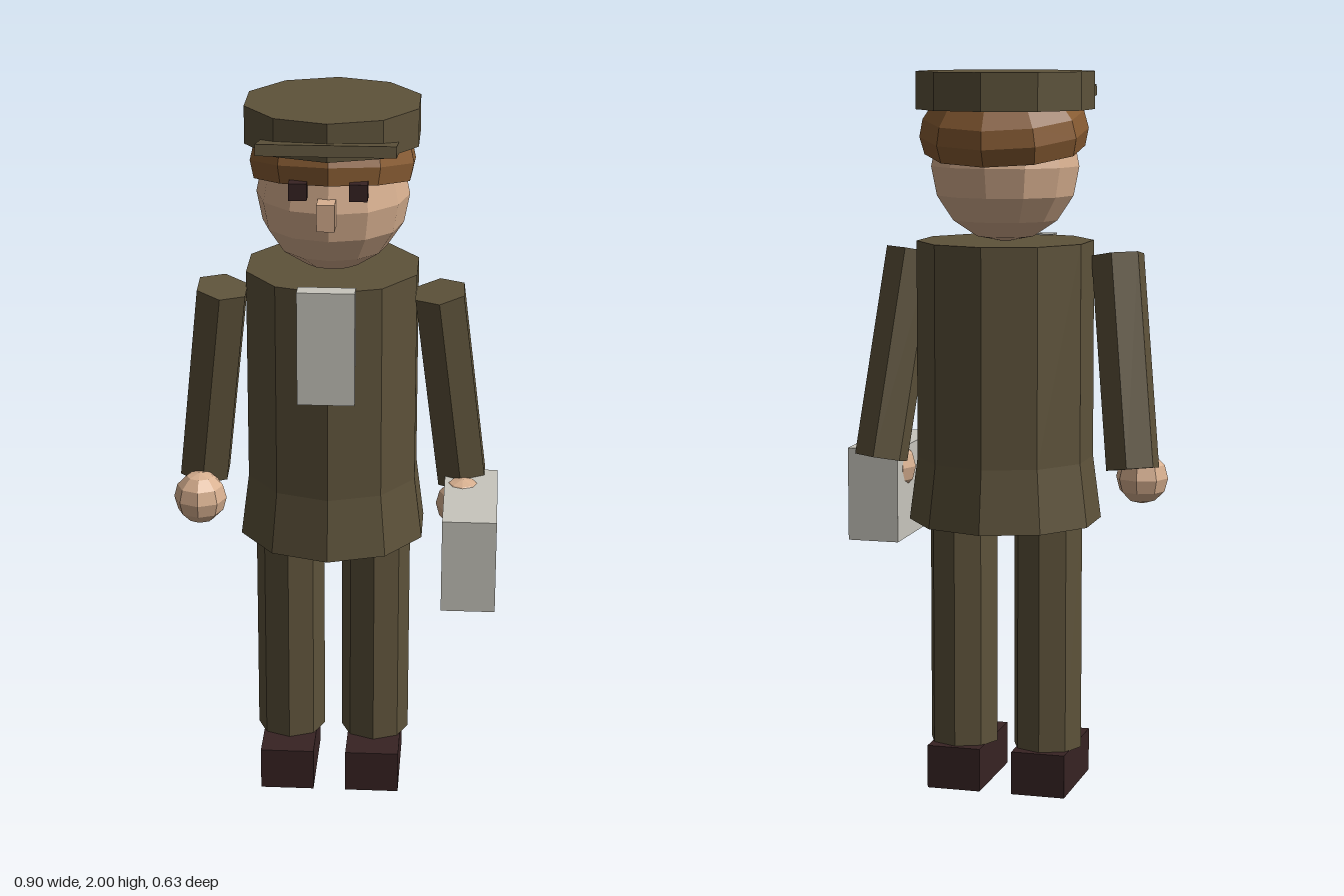
import * as THREE from 'three';

const CX = -0.016; // body axis
const CZ = -0.05;

function mat(name, color) {
  const m = new THREE.MeshStandardMaterial({ color, flatShading: true });
  m.name = name;
  return m;
}

export function createModel() {
  const group = new THREE.Group();
  group.name = 'uniformedFigure';

  const cloth = mat('olive cloth', 0x5d523a);
  const skin = mat('skin', 0xd8b090);
  const hairColor = mat('brown hair', 0x885c33);
  const dark = mat('dark leather', 0x372323);
  const pale = mat('off white', 0xc8c6bd);
  hairColor.side = THREE.DoubleSide;

  const add = (name, geometry, material, x, y, z) => {
    const mesh = new THREE.Mesh(geometry, material);
    mesh.name = name;
    mesh.position.set(x, y, z);
    group.add(mesh);
    return mesh;
  };
  const box = (name, material, w, h, d, x, y, z) =>
    add(name, new THREE.BoxGeometry(w, h, d), material, x, y, z);
  const cylinder = (name, material, rTop, rBottom, y0, y1, sides, x, z) =>
    add(name, new THREE.CylinderGeometry(rTop, rBottom, y1 - y0, sides), material, x, (y0 + y1) / 2, z);

  // Jacket and its flared skirt
  cylinder('jacket', cloth, 0.244, 0.244, 0.94, 1.54, 10, CX, CZ);
  cylinder('jacketSkirt', cloth, 0.244, 0.267, 0.765, 0.94, 10, CX, CZ);
  box('shirtFront', pale, 0.155, 0.318, 0.05, CX - 0.004, 1.384, 0.178);

  // Head, hair and face
  add('head', new THREE.SphereGeometry(0.208, 12, 8), skin, CX, 1.745, CZ);
  const hair = add('hair',
    new THREE.SphereGeometry(0.231, 10, 6, Math.PI / 2, Math.PI * 2, 0, Math.PI * 0.6).scale(1, 0.68, 1),
    hairColor, CX, 1.835, -0.063);
  hair.rotation.x = -0.17;
  box('nose', skin, 0.048, 0.073, 0.08, CX - 0.004, 1.748, 0.16);

  // Cap with upturned visor
  cylinder('cap', cloth, 0.244, 0.244, 1.897, 2.0, 10, CX, -0.051);
  const visor = box('capVisor', cloth, 0.365, 0.03, 0.2, CX, 1.925, 0.155);
  visor.rotation.x = -0.2;

  // Paired parts
  for (const [side, s] of [['left', 1], ['right', -1]]) {
    box(side + 'Eye', dark, 0.048, 0.046, 0.048, CX + s * 0.08, 1.808, 0.143);
    cylinder(side + 'Leg', cloth, 0.097, 0.097, 0.12, 0.78, 8, CX + s * 0.122, -0.046);
    box(side + 'Shoe', dark, 0.152, 0.122, 0.291, CX + s * 0.122, 0.061, -0.011);

    // Arm runs from the shoulder down, outward and slightly back
    const top = new THREE.Vector3(CX + s * 0.295, 1.5, 0.042);
    const end = new THREE.Vector3(CX + s * 0.363, 0.92, -0.052);
    const dir = top.clone().sub(end);
    const arm = add(side + 'Arm', new THREE.CylinderGeometry(0.076, 0.076, dir.length(), 6), cloth, 0, 0, 0);
    arm.position.copy(top).add(end).multiplyScalar(0.5);
    arm.quaternion.setFromUnitVectors(new THREE.Vector3(0, 1, 0), dir.normalize());

    add(side + 'Hand', new THREE.SphereGeometry(0.074, 8, 6), skin, CX + s * 0.367, 0.88, 0.05);
  }

  // Carried case
  box('case', pale, 0.147, 0.265, 0.364, 0.374, 0.809, 0.133);

  return group;
}
